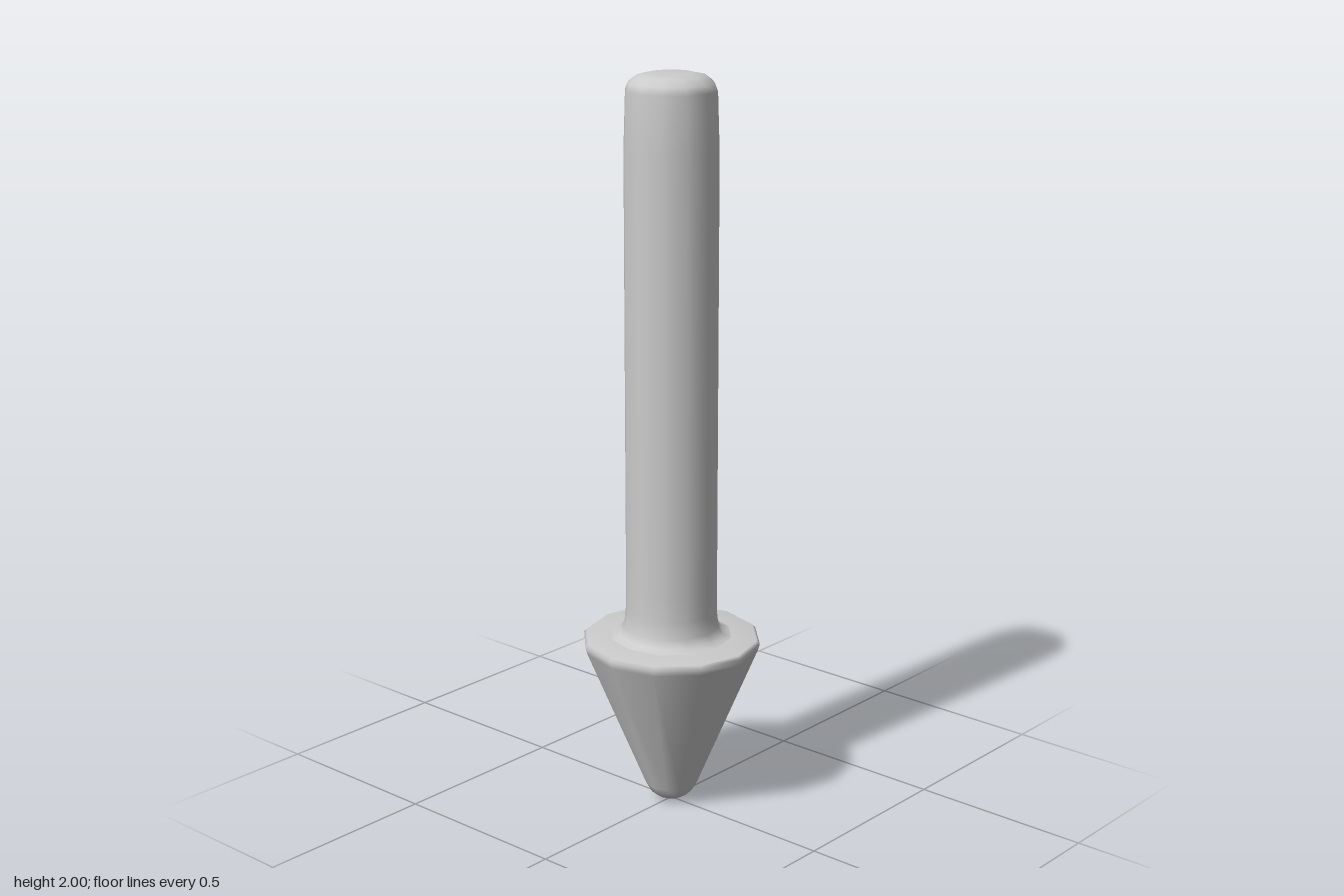
import * as THREE from 'three';

const SIDES = 12;

// Turn a bottom-to-top [radius, height] profile around the y axis
function turned(name, profile, material) {
  const points = profile.map(([r, y]) => new THREE.Vector2(r, y));
  const mesh = new THREE.Mesh(new THREE.LatheGeometry(points, SIDES), material);
  mesh.name = name;
  return mesh;
}

export function createModel() {
  const group = new THREE.Group();
  group.name = 'arrowPin';
  const material = new THREE.MeshStandardMaterial({ color: 0xcccccc });

  // Conical head: blunt rounded tip, straight flank, softened rim, flat shoulder
  group.add(turned('head', [
    [0, 0], [0.036, 0.011], [0.056, 0.025], [0.072, 0.052],
    [0.238, 0.455], [0.243, 0.473], [0.235, 0.482], [0.165, 0.486],
  ], material));

  // Shaft: small fillet at the shoulder, slim rod, bevelled domed end
  group.add(turned('shaft', [
    [0.165, 0.486], [0.142, 0.493], [0.13, 0.515], [0.125, 0.56], [0.125, 0.63],
    [0.125, 1.8], [0.12, 1.955], [0.112, 1.975], [0.09, 1.992], [0.06, 1.999], [0, 2],
  ], material));

  return group;
}
